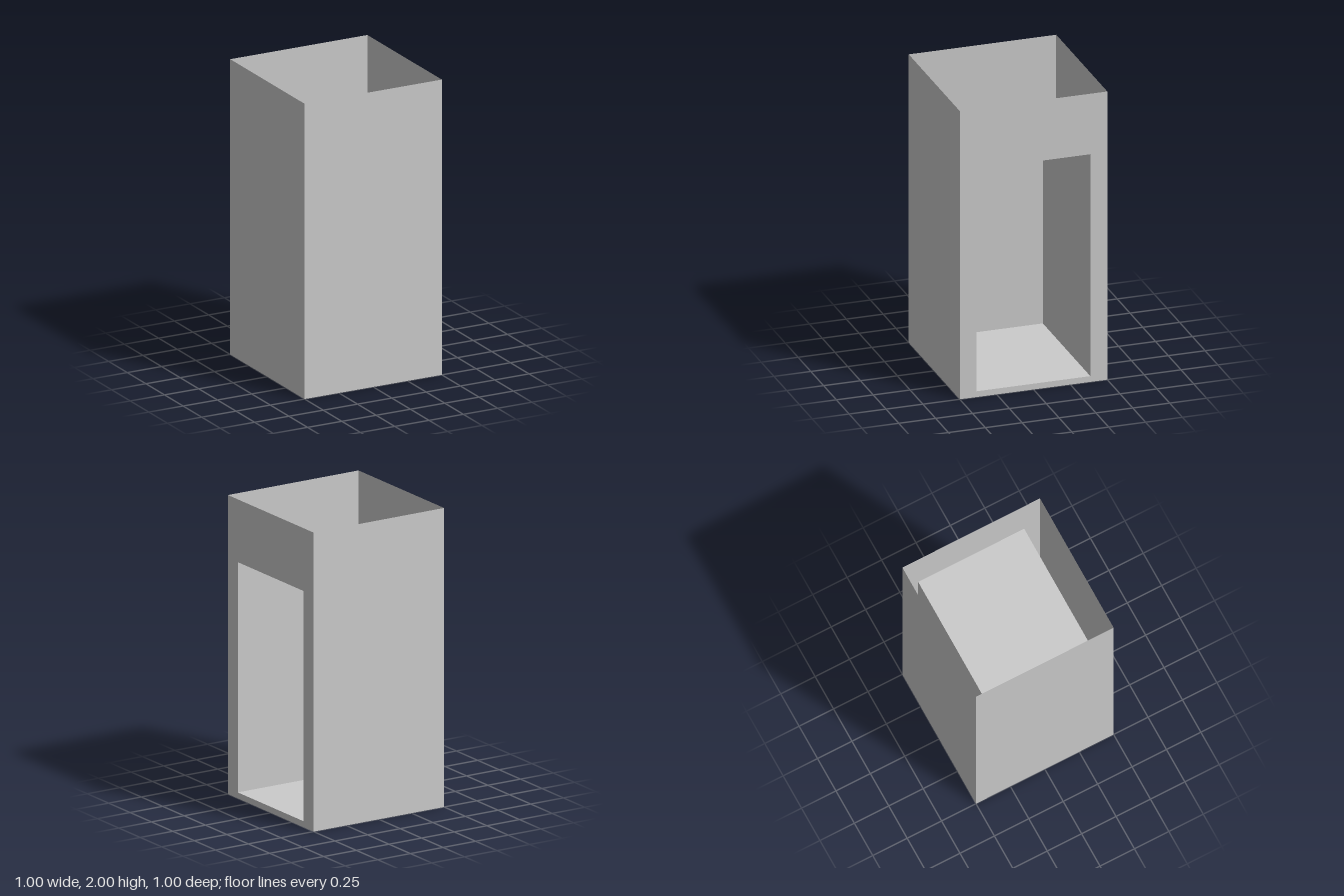
import * as THREE from 'three';

const W = 1, H = 2;                 // outer casing
const R = 0.385;                    // half width of the recess
const Y0 = 0.04, Y1 = 1.58;         // recess floor and ceiling
const BACK = -0.43, OPEN = W / 2;   // recess depth along x

const material = new THREE.MeshStandardMaterial({
  color: 0xcccccc, flatShading: true, side: THREE.DoubleSide,
});

// Thin rectangular panel, turned about x and y, then placed
function panel(name, w, h, position, rx = 0, ry = 0) {
  const mesh = new THREE.Mesh(new THREE.PlaneGeometry(w, h), material);
  mesh.name = name;
  mesh.position.set(...position);
  mesh.rotation.set(rx, ry, 0);
  return mesh;
}

// Side wall with the rectangular opening
function openWall() {
  const shape = new THREE.Shape([[-W / 2, 0], [W / 2, 0], [W / 2, H], [-W / 2, H]]
    .map(p => new THREE.Vector2(...p)));
  shape.holes.push(new THREE.Path([[-R, Y0], [-R, Y1], [R, Y1], [R, Y0]]
    .map(p => new THREE.Vector2(...p))));
  const mesh = new THREE.Mesh(new THREE.ShapeGeometry(shape), material);
  mesh.name = 'openingWall';
  mesh.rotation.y = Math.PI / 2;
  mesh.position.x = W / 2;
  return mesh;
}

export function createModel() {
  const model = new THREE.Group();
  model.name = 'openCabinet';

  // Outer casing, open at the top and bottom
  const casing = new THREE.Group();
  casing.name = 'casing';
  casing.add(
    panel('frontWall', W, H, [0, H / 2, W / 2]),
    panel('backWall', W, H, [0, H / 2, -W / 2], 0, Math.PI),
    panel('closedSideWall', W, H, [-W / 2, H / 2, 0], 0, -Math.PI / 2),
    openWall(),
  );

  // Recess behind the opening
  const recess = new THREE.Group();
  recess.name = 'recess';
  const depth = OPEN - BACK, cx = (OPEN + BACK) / 2, cy = (Y0 + Y1) / 2;
  recess.add(
    panel('recessFloor', depth, 2 * R, [cx, Y0, 0], -Math.PI / 2),
    panel('recessCeiling', depth, 2 * R, [cx, Y1, 0], Math.PI / 2),
    panel('recessFrontSide', depth, Y1 - Y0, [cx, cy, R], 0, Math.PI),
    panel('recessBackSide', depth, Y1 - Y0, [cx, cy, -R]),
    panel('recessEnd', 2 * R, Y1 - Y0, [BACK, cy, 0], 0, Math.PI / 2),
  );

  model.add(casing, recess);
  return model;
}
